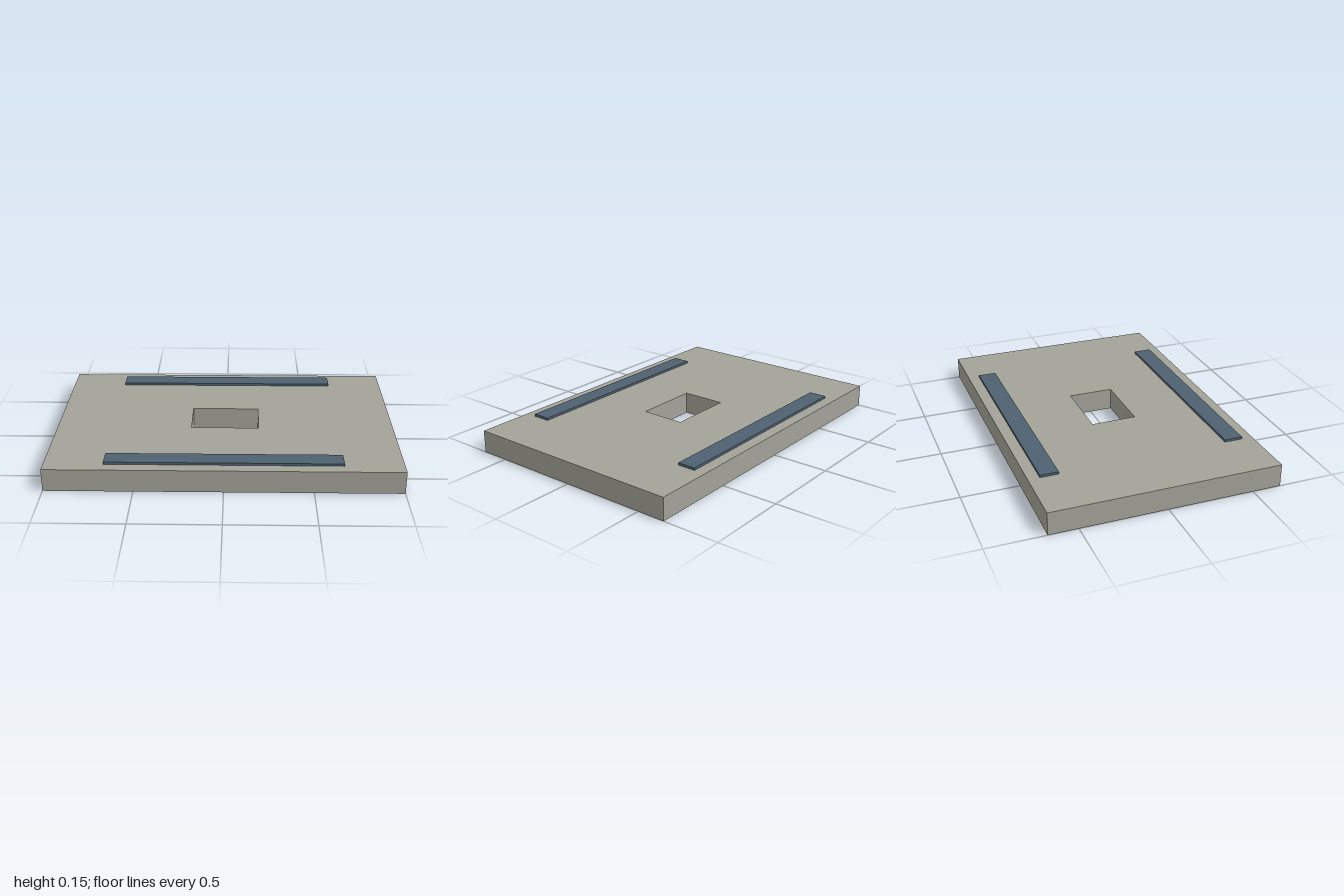
import * as THREE from 'three';

const LENGTH = 2, DEPTH = 4 / 3, HEIGHT = 0.133;

function rectangle(path, w, h) {
  return path.moveTo(-w / 2, -h / 2).lineTo(w / 2, -h / 2).lineTo(w / 2, h / 2).lineTo(-w / 2, h / 2).closePath();
}

export function createModel() {
  const model = new THREE.Group();
  model.name = 'slottedSlab';

  const concrete = new THREE.MeshStandardMaterial({ color: 0xa3a298 });
  concrete.name = 'concrete grey';
  const steel = new THREE.MeshStandardMaterial({ color: 0x4e6070 });
  steel.name = 'steel blue';

  // Slab with a rectangular opening through the middle
  const outline = rectangle(new THREE.Shape(), LENGTH, DEPTH);
  outline.holes.push(rectangle(new THREE.Path(), 0.4, 0.267));
  const slabGeometry = new THREE.ExtrudeGeometry(outline, { depth: HEIGHT, bevelEnabled: false });
  slabGeometry.rotateX(-Math.PI / 2);
  const slab = new THREE.Mesh(slabGeometry, concrete);
  slab.name = 'slab';
  model.add(slab);

  // Thin rails along the front and back edges
  const railGeometry = new THREE.BoxGeometry(1.333, 0.014, 0.107);
  for (const [name, side] of [['frontRail', 1], ['backRail', -1]]) {
    const rail = new THREE.Mesh(railGeometry, steel);
    rail.name = name;
    rail.position.set(0, HEIGHT + 0.007, side * 0.547);
    model.add(rail);
  }

  return model;
}
